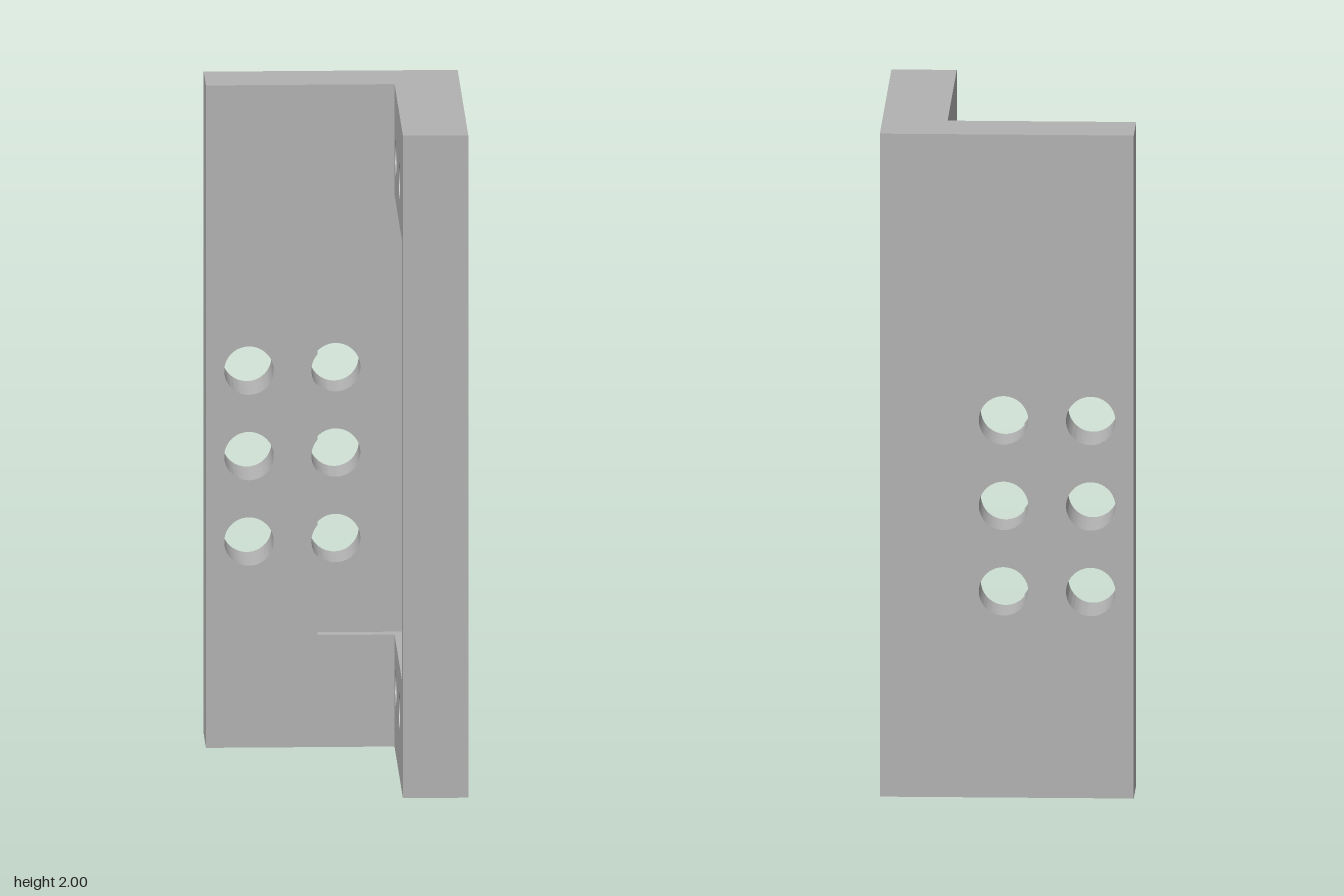
import * as THREE from 'three';
import { toCreasedNormals } from 'three/addons/utils/BufferGeometryUtils.js';

const W = 0.375, D = 0.46, H = 2;        // half width, half depth, height
const INNER_X = 0.182, INNER_Z = -0.266; // inner faces of the two plates
const WIN_LOW = 0.338, WIN_HIGH = 1.666, WIN_FRONT = 0.375;
const POCKET_X = -0.046, POCKET_Z = -0.307;
const HOLE_R = 0.073, HOLE_X = [-0.248, 0.0095], HOLE_Y = [0.622, 0.88, 1.138];
const SCREW_R = 0.054, SCREW_Z = [0.163, -0.16], SCREW_Y = [0.2, 1.8];

function polygon(points) {
  return new THREE.Shape(points.map(([x, y]) => new THREE.Vector2(x, y)));
}

function addHole(shape, x, y, r) {
  const path = new THREE.Path();
  path.absarc(x, y, r, 0, Math.PI * 2, true);
  shape.holes.push(path);
}

function extrude(shape, depth) {
  const g = new THREE.ExtrudeGeometry(shape, { depth, bevelEnabled: false, curveSegments: 48 });
  return toCreasedNormals(g, Math.PI / 6);
}

export function createModel() {
  const group = new THREE.Group();
  group.name = 'angleBracket';
  const metal = new THREE.MeshStandardMaterial({ color: 0xb2b2b2 });
  metal.name = 'plainGrey';

  function add(name, geometry) {
    const mesh = new THREE.Mesh(geometry, metal);
    mesh.name = name;
    group.add(mesh);
  }

  // Back plate: rear layer with all six round holes
  const rear = polygon([[-W, 0], [W, 0], [W, H], [-W, H]]);
  for (const x of HOLE_X) for (const y of HOLE_Y) addHole(rear, x, y, HOLE_R);
  add('backPlate', extrude(rear, POCKET_Z + D).translate(0, 0, -D));

  // Back plate: front layer, recessed by the window pocket, whose edge the holes bite into
  const face = new THREE.Shape();
  face.moveTo(-W, 0);
  face.lineTo(W, 0);
  face.lineTo(W, WIN_LOW);
  face.lineTo(POCKET_X, WIN_LOW);
  const bite = Math.acos((HOLE_X[1] - POCKET_X) / HOLE_R);
  for (const y of HOLE_Y) face.absarc(HOLE_X[1], y, HOLE_R, Math.PI + bite, Math.PI - bite, true);
  face.lineTo(POCKET_X, WIN_HIGH);
  face.lineTo(W, WIN_HIGH);
  face.lineTo(W, H);
  face.lineTo(-W, H);
  for (const y of HOLE_Y) addHole(face, HOLE_X[0], y, HOLE_R);
  add('backPlatePocketLayer', extrude(face, INNER_Z - POCKET_Z).translate(0, 0, POCKET_Z));

  // Side plate: window open towards the pocket, four screw holes (shape x runs along -z)
  const side = polygon([
    [-D, 0], [-INNER_Z, 0], [-INNER_Z, WIN_LOW], [-WIN_FRONT, WIN_LOW],
    [-WIN_FRONT, WIN_HIGH], [-INNER_Z, WIN_HIGH], [-INNER_Z, H], [-D, H],
  ]);
  for (const z of SCREW_Z) for (const y of SCREW_Y) addHole(side, -z, y, SCREW_R);
  add('sidePlate', extrude(side, W - INNER_X).rotateY(Math.PI / 2).translate(INNER_X, 0, 0));

  return group;
}
